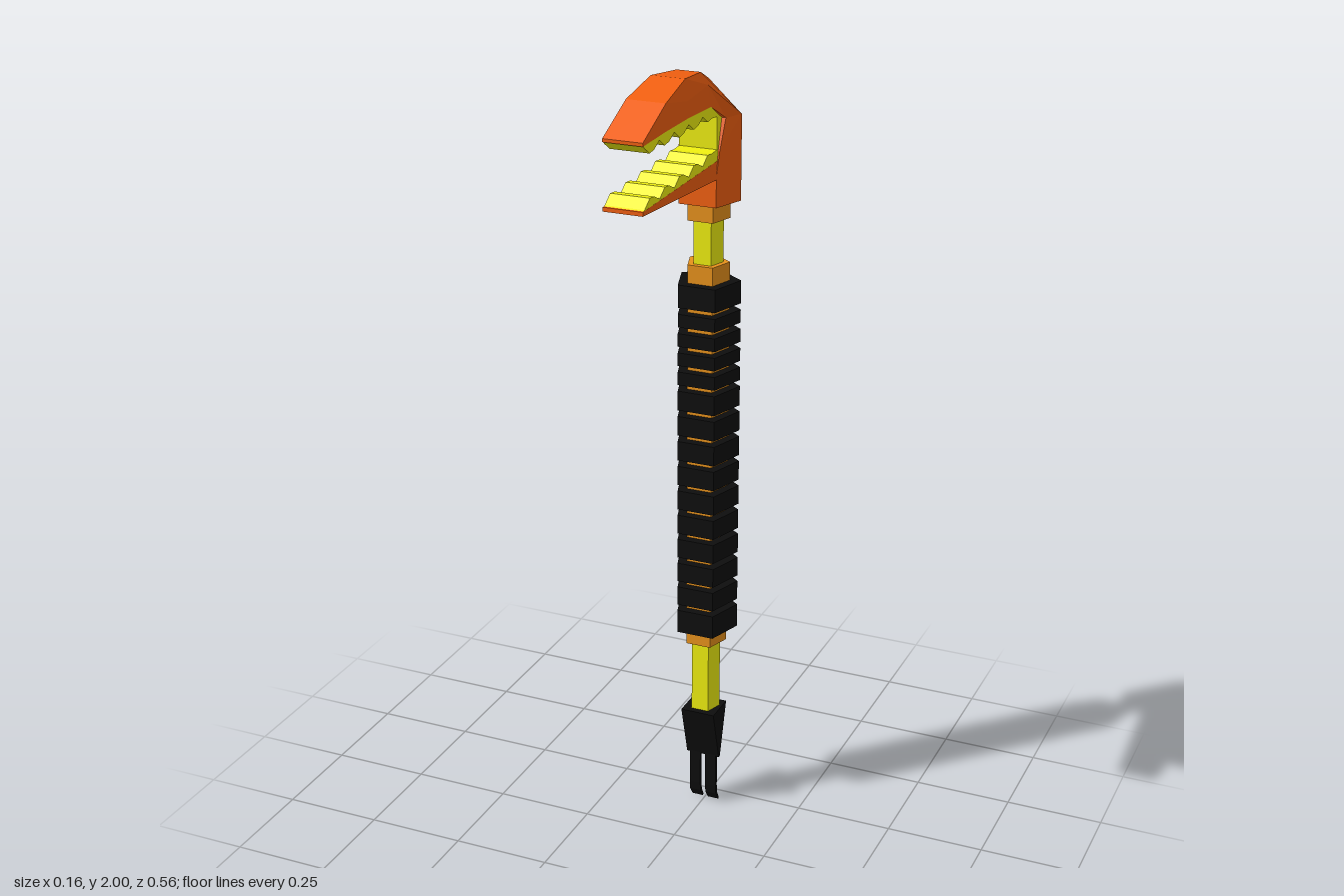
import * as THREE from 'three';

const mat = (color) => new THREE.MeshStandardMaterial({ color, flatShading: true });
const ORANGE = mat(0xf26010), YELLOW = mat(0xf0f010), AMBER = mat(0xe8921c), BLACK = mat(0x0e0e0e);
const AXIS = -0.198; // z of the shaft

export function createModel() {
  const model = new THREE.Group();

  const add = (name, geometry, material, parent = model) => {
    const mesh = new THREE.Mesh(geometry, material);
    mesh.name = name;
    parent.add(mesh);
    return mesh;
  };

  // Five-sided bar around the shaft axis, with one corner pointing back
  const bar = (name, r, y0, y1, material, parent) => {
    const g = new THREE.CylinderGeometry(r, r, y1 - y0, 5, 1, false, Math.PI);
    add(name, g.translate(0, (y0 + y1) / 2, AXIS), material, parent);
  };

  // Side profile of [z, y] points, extruded across x
  const slab = (name, profile, width, material, x = 0) => {
    const shape = new THREE.Shape(profile.map(([z, y]) => new THREE.Vector2(z, y)));
    const g = new THREE.ExtrudeGeometry(shape, { depth: width, bevelEnabled: false });
    g.translate(0, 0, -width / 2).rotateY(-Math.PI / 2).translate(x, 0, 0);
    return add(name, g, material);
  };

  // Shaft, grip core and collar
  bar('shaft', 0.039, 0.27, 1.64, YELLOW);
  bar('gripCore', 0.055, 0.48, 1.5, AMBER);
  bar('headCollar', 0.055, 1.61, 1.66, AMBER);

  // Grip rings, closer together near the top
  const grip = new THREE.Group();
  grip.name = 'gripRings';
  model.add(grip);
  const gaps = [0.512];
  for (let i = 0; i < 10; i++) gaps.push(0.59 + i * 0.0666);
  for (let i = 1; i < 4; i++) gaps.push(1.19 + i * 0.0495);
  gaps.push(1.388, 1.462);
  for (let i = 0; i + 1 < gaps.length; i++) {
    bar('gripRing', 0.082, gaps[i] + 0.008, gaps[i + 1] - 0.008, BLACK, grip);
  }

  // Wedge and two hooked prongs at the foot
  slab('footWedge', [[-0.15, 0.285], [-0.189, 0.14], [-0.197, 0.14], [-0.237, 0.285]], 0.09, BLACK);
  const prong = [[-0.188, 0.16], [-0.188, 0.05], [-0.191, 0.025], [-0.208, 0],
    [-0.212, 0.003], [-0.2, 0.025], [-0.197, 0.05], [-0.198, 0.16]];
  for (const s of [-1, 1]) slab('footProng', prong, 0.03, BLACK, s * 0.022);

  // Upper jaw and neck: half sections of ridge, side and inner edge, from snout to neck base
  const sections = [
    [[0.048, 1.915, 0.278], [0.048, 1.911, 0.278], [0.048, 1.907, 0.278]],
    [[0.048, 1.973, 0.155], [0.048, 1.94, 0.155], [0.048, 1.91, 0.155]],
    [[0.042, 2.0, 0.035], [0.048, 1.95, 0.035], [0.048, 1.91, 0.035]],
    [[0.03, 1.988, -0.082], [0.048, 1.96, -0.082], [0.048, 1.905, -0.1]],
    [[0, 1.945, -0.2], [0.078, 1.865, -0.214], [0.058, 1.865, -0.166]],
    [[0, 1.86, -0.242], [0.078, 1.82, -0.216], [0.052, 1.79, -0.145]],
    [[0, 1.8, -0.261], [0.078, 1.76, -0.216], [0.048, 1.73, -0.135]],
    [[0, 1.655, -0.261], [0.078, 1.655, -0.216], [0.048, 1.655, -0.135]],
  ].map((half) => [...half, ...half.map(([x, y, z]) => [-x, y, z]).reverse()]);
  const pos = [];
  const tri = (a, b, c) => pos.push(...a, ...b, ...c);
  for (let i = 0; i + 1 < sections.length; i++) {
    for (let j = 0; j < 6; j++) {
      const k = (j + 1) % 6, p = sections[i], q = sections[i + 1];
      tri(p[j], p[k], q[k]);
      tri(p[j], q[k], q[j]);
    }
  }
  const first = sections[0], last = sections[sections.length - 1];
  for (let k = 1; k < 5; k++) {
    tri(first[0], first[k + 1], first[k]);
    tri(last[0], last[k], last[k + 1]);
  }
  const head = new THREE.BufferGeometry();
  head.setAttribute('position', new THREE.Float32BufferAttribute(pos, 3));
  head.computeVertexNormals();
  add('upperJawAndNeck', head, ORANGE);

  // Lower jaw
  slab('lowerJaw', [[0.28, 1.752], [0.28, 1.762], [-0.15, 1.768], [-0.15, 1.722]], 0.096, ORANGE);

  // Mouth lining with wavy ridges of teeth along both jaws
  const TEETH = 5, z0 = 0.27, z1 = -0.135;
  const ridge = (from, to, height) => {
    const points = [];
    for (let i = 0; i < TEETH; i++) {
      for (const [f, h] of [[0, 0], [0.35, 1], [0.65, 0.8]]) {
        const t = (i + f) / TEETH;
        points.push([z0 + (z1 - z0) * t, from + (to - from) * t + h * height]);
      }
    }
    return points;
  };
  const lining = [
    [0.278, 1.91], ...ridge(1.902, 1.89, -0.018), [-0.138, 1.873],
    [-0.138, 1.795], ...ridge(1.764, 1.78, 0.018).reverse(), [0.278, 1.76],
    [-0.14, 1.755], [-0.168, 1.84], [-0.168, 1.87], [-0.14, 1.912],
  ];
  slab('teethAndMouthLining', lining, 0.0955, YELLOW);

  return model;
}
